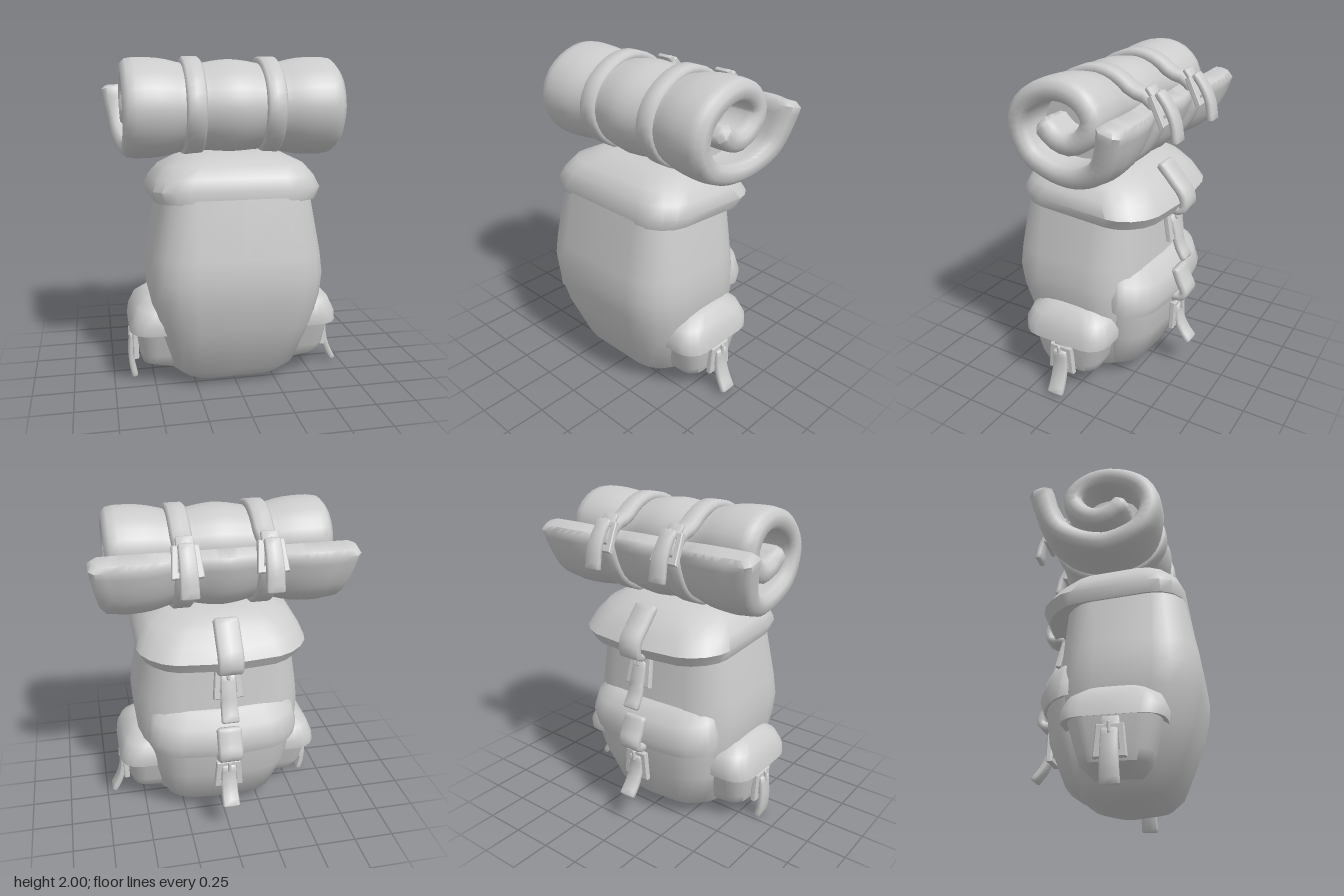
import * as THREE from 'three';
import { toCreasedNormals } from 'three/addons/utils/BufferGeometryUtils.js';

const material = new THREE.MeshStandardMaterial({ color: 0xcccccc });

function mesh(name, geometry, parent) {
  const m = new THREE.Mesh(geometry, material);
  m.name = name;
  parent.add(m);
  return m;
}

// Skin a list of equal-length rings, capped unless closed into a loop
function skin(rows, closed = false) {
  const k = rows[0].length, n = rows.length, index = [];
  for (let i = 0; i < (closed ? n : n - 1); i++) {
    for (let j = 0; j < k; j++) {
      const a = i * k + j, b = i * k + (j + 1) % k;
      const c = ((i + 1) % n) * k + j, d = ((i + 1) % n) * k + (j + 1) % k;
      index.push(a, c, b, b, c, d);
    }
  }
  if (!closed) {
    const e = (n - 1) * k;
    for (let i = 0; i < k / 2 - 1; i++) {
      const [a, b, c, d] = [i, i + 1, k - 2 - i, k - 1 - i];
      index.push(a, b, c, a, c, d, e + a, e + c, e + b, e + a, e + d, e + c);
    }
  }
  const g = new THREE.BufferGeometry();
  g.setAttribute('position', new THREE.Float32BufferAttribute(rows.flat(2), 3));
  g.setIndex(index);
  return toCreasedNormals(g, 0.9);
}

// Stack of rounded rectangles: [y, halfWidth, zFront, zBack, cornerRadius];
// bows curve the front or back face, tilt slopes each ring along z
function loft(rings, { tilt = 0, pivot = 0, bowFront = 0, bowBack = 0 } = {}) {
  const segs = 4;
  return skin(rings.map(([y, hw, zf, zb, radius]) => {
    const r = Math.min(radius, hw * 0.98, (zf - zb) * 0.49), ring = [];
    const mid = (zf + zb) / 2, halfDepth = (zf - zb) / 2;
    const add = (x, z0) => {
      const s = (z0 - mid) / halfDepth, bow = (x / hw) ** 2 * s;
      const z = z0 - bow * (s > 0 ? bowFront : bowBack);
      ring.push([x, y + tilt * (z - pivot), z]);
    };
    const corners = [[hw - r, zf - r], [r - hw, zf - r], [r - hw, zb + r], [hw - r, zb + r]];
    corners.forEach(([cx, cz], q) => {
      for (let i = 0; i <= segs; i++) {
        const a = (q + i / segs) * Math.PI / 2;
        add(cx + r * Math.cos(a), cz + r * Math.sin(a));
      }
      if (q === 0) add(0, zf);
      if (q === 2) add(0, zb);
    });
    return ring;
  }));
}

// Sweep a bevelled slab along a [z, y] path; width runs along x
function sweep(path, { w, t, b = 0.012, steps = 14, across = 2, closed = false, widen = () => 0, thicken = () => 0, squeeze = (v) => v }) {
  const curve = new THREE.CatmullRomCurve3(path.map(([z, y]) => new THREE.Vector3(0, y, z)), closed);
  const row = (u, shrink, shift) => {
    const p = curve.getPointAt(u), d = curve.getTangentAt(u);
    p.addScaledVector(d, shift);
    const hw = w + widen(u) - shrink, h = (t + thicken(u)) / 2 - shrink, c = Math.max(h - b, h * 0.3);
    const half = [[hw, c]];
    for (let i = 0; i <= across; i++) half.push([(hw - b) * (1 - 2 * i / across), h]);
    half.push([-hw, c]);
    const section = half.concat(half.map(([x, n]) => [x, -n]).reverse());
    return section.map(([x, n]) => squeeze([x, p.y - d.z * n, p.z + d.y * n]));
  };
  const rows = [];
  if (!closed) rows.push(row(0, b * 0.8, -b));
  for (let i = 0; i < (closed ? steps : steps + 1); i++) rows.push(row(i / steps, 0, 0));
  if (!closed) rows.push(row(1, b * 0.8, b));
  return skin(rows, closed);
}

// Buckle facing +z with its origin at the top: frame, pin, short strap and loose tail
function buckle(name, tail, parent, position, turn, tilt = 0) {
  const g = new THREE.Group();
  g.name = name;
  const shape = new THREE.Shape();
  shape.moveTo(-0.07, -0.03).lineTo(-0.085, -0.2).lineTo(0.085, -0.2).lineTo(0.07, -0.03).closePath();
  const hole = new THREE.Path();
  hole.moveTo(-0.045, -0.055).lineTo(0.045, -0.055).lineTo(0.055, -0.172).lineTo(-0.055, -0.172).closePath();
  shape.holes.push(hole);
  mesh('buckleFrame', new THREE.ExtrudeGeometry(shape, {
    depth: 0.024, bevelEnabled: true, bevelSize: 0.005, bevelThickness: 0.006, bevelSegments: 1,
  }), g);
  const pin = mesh('bucklePin', new THREE.CapsuleGeometry(0.011, 0.05, 3, 8), g);
  pin.position.set(0, -0.05, 0.045);
  mesh('buckleStrap', sweep([[0, 0.02], [0.012, -0.06], [0.012, -0.15]], { w: 0.05, t: 0.025, b: 0.006, steps: 4 }), g);
  mesh('strapTail', sweep(tail, { w: 0.045, t: 0.036, b: 0.008, steps: 8, widen: (u) => 0.008 * u }), g);
  g.position.set(...position);
  g.rotation.set(tilt, turn, 0, 'YXZ');
  parent.add(g);
}

export function createModel() {
  const model = new THREE.Group();
  model.name = 'backpack';

  // Main bag
  mesh('body', loft([
    [0, 0.22, 0.13, -0.08, 0.1], [0.035, 0.33, 0.29, -0.18, 0.17], [0.11, 0.4, 0.365, -0.25, 0.2],
    [0.4, 0.485, 0.48, -0.32, 0.23], [0.58, 0.522, 0.525, -0.33, 0.25], [0.72, 0.53, 0.54, -0.32, 0.25],
    [0.85, 0.515, 0.525, -0.31, 0.24], [1.22, 0.445, 0.455, -0.285, 0.18],
  ], { bowBack: 0.05 }), model);

  // Top lid, dipping toward the back
  mesh('lid', loft([
    [1.205, 0.42, 0.4, -0.27, 0.18], [1.18, 0.485, 0.457, -0.415, 0.2], [1.25, 0.515, 0.462, -0.45, 0.21],
    [1.32, 0.485, 0.435, -0.405, 0.21], [1.39, 0.43, 0.385, -0.335, 0.2], [1.45, 0.32, 0.24, -0.24, 0.18],
    [1.47, 0.22, 0.14, -0.15, 0.12],
  ], { tilt: 0.07, pivot: 0.46, bowBack: 0.09 }), model);

  // Back pocket with flap
  const backPocket = new THREE.Group();
  backPocket.name = 'backPocket';
  backPocket.rotation.y = Math.PI;
  mesh('pocketBody', loft([
    [0.055, 0.26, 0.2, 0, 0.1], [0.11, 0.35, 0.29, 0, 0.14], [0.35, 0.425, 0.38, 0, 0.18], [0.56, 0.45, 0.405, 0, 0.2],
  ], { bowFront: 0.05 }), backPocket);
  mesh('pocketFlap', loft([
    [0.54, 0.42, 0.37, 0.05, 0.2], [0.52, 0.47, 0.42, 0.05, 0.22], [0.6, 0.475, 0.445, 0.05, 0.22],
    [0.71, 0.445, 0.415, 0.05, 0.2], [0.775, 0.37, 0.34, 0.05, 0.18], [0.785, 0.3, 0.29, 0.05, 0.14],
  ], { tilt: -0.22, pivot: 0.42, bowFront: 0.07 }), backPocket);
  model.add(backPocket);

  // Side pockets with flaps and buckles
  const sideTails = {
    left: [[0.03, -0.06], [0.035, -0.16], [0.06, -0.25], [0.1, -0.33]],
    right: [[0.03, -0.06], [0.04, -0.18], [0.035, -0.27], [0.02, -0.34]],
  };
  for (const [side, s] of [['left', 1], ['right', -1]]) {
    const g = new THREE.Group();
    g.name = side + 'Pocket';
    g.rotation.y = s * Math.PI / 2;
    g.position.z = 0.07;
    mesh('pocketBody', loft([
      [0.09, 0.14, 0.41, 0.2, 0.08], [0.14, 0.185, 0.57, 0.2, 0.09], [0.2, 0.21, 0.59, 0.2, 0.1], [0.39, 0.265, 0.615, 0.2, 0.12],
    ]), g);
    mesh('pocketFlap', loft([
      [0.38, 0.25, 0.61, 0.2, 0.1], [0.365, 0.29, 0.652, 0.2, 0.13], [0.43, 0.298, 0.643, 0.2, 0.13],
      [0.51, 0.265, 0.61, 0.2, 0.13], [0.56, 0.2, 0.555, 0.2, 0.12], [0.58, 0.14, 0.51, 0.2, 0.1],
    ]), g);
    buckle('sideBuckle', sideTails[side], g, [0, 0.35, 0.6], 0);
    model.add(g);
  }

  // Wide straps folded over the lid and back flap, with their buckles
  mesh('lidStrap', sweep([[-0.3, 1.395], [-0.38, 1.305], [-0.45, 1.22], [-0.457, 1.15], [-0.44, 1.13], [-0.37, 1.13]],
    { w: 0.075, t: 0.05 }), model);
  mesh('pocketStrap', sweep([[-0.42, 0.72], [-0.455, 0.64], [-0.485, 0.57], [-0.465, 0.54], [-0.39, 0.53]],
    { w: 0.075, t: 0.05 }), model);
  buckle('lidBuckle', [[0.02, -0.06], [0.03, -0.17], [0.035, -0.26], [0.06, -0.34]],
    model, [0, 1.12, -0.33], Math.PI, -0.22);
  buckle('pocketBuckle', [[0.02, -0.06], [0.025, -0.14], [0.06, -0.23], [0.115, -0.3]],
    model, [0, 0.51, -0.405], Math.PI);

  // Bedroll: a spiral pad pinched under its two straps and drawn in at its ends
  const pinch = ([x, y, z]) => {
    const a = Math.abs(x);
    const f = 1 - 0.14 * Math.exp(-(((a - 0.235) / 0.14) ** 2)) - 0.035 * Math.exp(-((x / 0.15) ** 2))
      - 0.04 * THREE.MathUtils.smoothstep(a, 0.56, 0.66);
    return [x, 1.7 + (y - 1.7) * f, 0.02 + (z - 0.02) * f];
  };
  const bedroll = new THREE.Group();
  bedroll.name = 'bedroll';
  mesh('rolledPad', sweep([
    [0.13, 1.72], [0.06, 1.66], [-0.04, 1.64], [-0.13, 1.69], [-0.18, 1.79], [-0.12, 1.89], [0, 1.938],
    [0.14, 1.915], [0.265, 1.83], [0.312, 1.7], [0.245, 1.545], [0.12, 1.475], [0, 1.452], [-0.14, 1.475],
    [-0.265, 1.55], [-0.325, 1.665], [-0.358, 1.79],
  ], {
    w: 0.655, t: 0.118, b: 0.03, steps: 44, across: 26,
    widen: (u) => 0.1 * Math.max(0, (u - 0.72) / 0.28),
    thicken: (u) => 0.03 * Math.max(0, (u - 0.8) / 0.2), squeeze: pinch,
  }), bedroll);
  const core = mesh('rollCore', new THREE.CylinderGeometry(0.2, 0.2, 0.9, 16), bedroll);
  core.rotation.z = Math.PI / 2;
  core.position.set(0, 1.69, 0.03);

  // Bedroll straps and buckles
  for (const x of [-0.235, 0.235]) {
    const band = mesh('rollStrap', sweep([
      [0, 1.97], [0.15, 1.935], [0.28, 1.83], [0.325, 1.69], [0.255, 1.54], [0.12, 1.45], [0, 1.43],
      [-0.13, 1.45], [-0.265, 1.53], [-0.34, 1.65], [-0.37, 1.77], [-0.32, 1.845], [-0.22, 1.875], [-0.12, 1.94],
    ], { w: 0.06, t: 0.06, b: 0.015, steps: 36, closed: true }), bedroll);
    band.position.x = x;
    buckle('rollBuckle', [[0.04, -0.03], [0.055, -0.1], [0.055, -0.2], [0.02, -0.31]],
      bedroll, [x, 1.89, -0.325], Math.PI, -0.5);
  }
  model.add(bedroll);
  return model;
}
